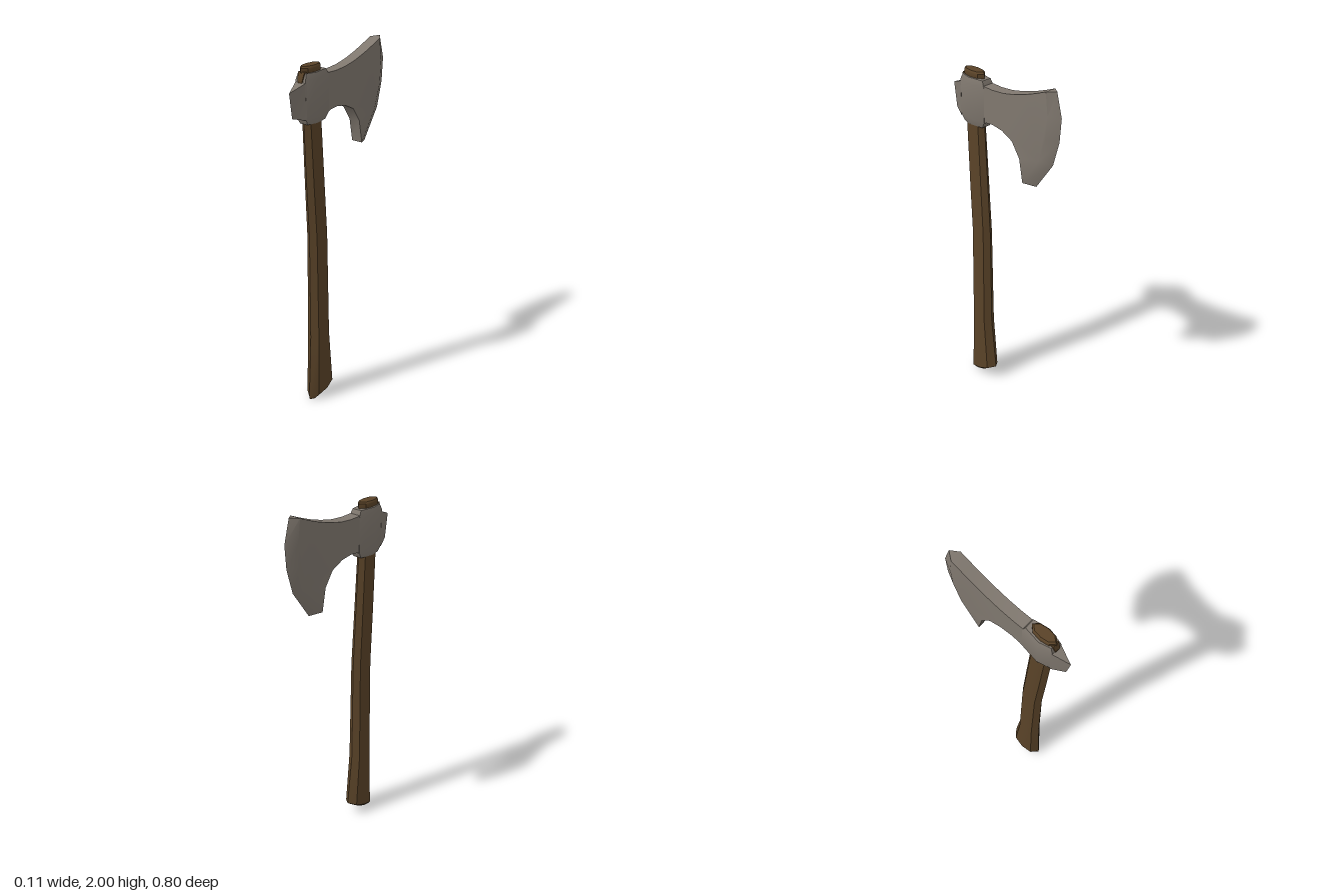
import * as THREE from 'three';
import { mergeGeometries, toCreasedNormals } from 'three/addons/utils/BufferGeometryUtils.js';

const CREASE = 0.6;
const steel = new THREE.MeshStandardMaterial({ color: 0x80786f });
steel.name = 'steel';
const wood = new THREE.MeshStandardMaterial({ color: 0x5a4328 });
wood.name = 'wood';

// Skin a stack of equal rings (bottom to top, each running +z, +x, -z, -x) and cap both ends
function loft(rings) {
  const n = rings[0].length;
  const pos = [];
  const tri = (a, b, c) => pos.push(...a, ...b, ...c);
  for (let i = 0; i < rings.length - 1; i++) {
    const lo = rings[i], hi = rings[i + 1];
    for (let j = 0; j < n; j++) {
      const k = (j + 1) % n;
      tri(lo[j], lo[k], hi[k]);
      tri(lo[j], hi[k], hi[j]);
    }
  }
  const bottom = rings[0], top = rings[rings.length - 1];
  for (let j = 1; j < n - 1; j++) {
    tri(bottom[0], bottom[j + 1], bottom[j]);
    tri(top[0], top[j], top[j + 1]);
  }
  const g = new THREE.BufferGeometry();
  g.setAttribute('position', new THREE.Float32BufferAttribute(pos, 3));
  return g;
}

function part(name, geometry, material) {
  const g = toCreasedNormals(geometry, CREASE);
  const mesh = new THREE.Mesh(g, material);
  mesh.name = name;
  return mesh;
}

// Faceted oval section of the handle; front and back heights differ for slanted cuts
const OVAL = [[0, 1], [0.78, 0.65], [1, 0], [0.78, -0.65], [0, -1], [-0.78, -0.65], [-1, 0], [-0.78, 0.65]];
function ovalRing([yFront, yBack, z, hx, hz]) {
  return OVAL.map(([u, v]) => [u * hx, yBack + (yFront - yBack) * (v + 1) / 2, z + v * hz]);
}

// Blade: flat cheek plus a ground bevel that ends in a sharp edge
function bladeGeometry() {
  const h = 0.033;
  const inner = [[-0.165, 1.445], [-0.28, 1.61], [-0.325, 1.745], [-0.335, 1.87], [-0.32, 1.995]];
  const edge = [[-0.235, 1.437], [-0.35, 1.6], [-0.39, 1.74], [-0.4, 1.87], [-0.365, 2]];
  const topLine = [[-0.25, 1.966], [-0.18, 1.94], [-0.1, 1.916], [-0.02, 1.899], [0.06, 1.892], [0.17, 1.895]];
  const beard = [[0.17, 1.665], [0.14, 1.68], [0.11, 1.695], [0.06, 1.7], [-0.01, 1.69], [-0.085, 1.655], [-0.14, 1.575]];
  const outline = [...inner, ...topLine, ...beard].map(([z, y]) => new THREE.Vector2(-z, y));
  const cheek = new THREE.ExtrudeGeometry(new THREE.Shape(outline), { depth: 2 * h, bevelEnabled: false });
  cheek.translate(0, 0, -h);
  cheek.rotateY(Math.PI / 2);
  cheek.deleteAttribute('uv');
  cheek.deleteAttribute('normal');
  const bevel = loft(inner.map(([z, y], i) => [[h, y, z], [0, edge[i][1], edge[i][0]], [-h, y, z]]));
  return mergeGeometries([cheek.index ? cheek.toNonIndexed() : cheek, bevel]);
}

// Eye: six-sided collar around the handle, chamfered above and below
function eyeGeometry() {
  const section = [[0.032, 0.31], [0.051, 0.235], [0.034, 0.125], [-0.034, 0.125], [-0.051, 0.235], [-0.032, 0.31]];
  const levels = [[1.652, 0.76], [1.69, 1], [1.885, 1], [1.918, 0.84]];
  return loft(levels.map(([y, s]) => section.map(([x, z]) => [x * s, y, 0.225 + (z - 0.225) * s])));
}

export function createModel() {
  const model = new THREE.Group();
  model.name = 'axe';

  // Handle, from the slanted foot up to the head: front y, back y, centre z, half widths
  const handle = [
    [0, 0.03, 0.213, 0.026, 0.058],
    [0.02, 0.085, 0.178, 0.054, 0.097],
    [0.4, 0.4, 0.186, 0.05, 0.07],
    [1.0, 1.0, 0.189, 0.043, 0.067],
    [1.3, 1.3, 0.206, 0.04, 0.067],
    [1.68, 1.68, 0.226, 0.036, 0.065],
  ].map(ovalRing);
  model.add(part('handle', loft(handle), wood));

  // Wooden end of the handle standing proud of the eye
  const plug = [
    [1.9, 1.9, 0.232, 0.029, 0.068],
    [1.925, 1.925, 0.232, 0.034, 0.077],
    [1.943, 1.943, 0.232, 0.034, 0.077],
    [1.952, 1.952, 0.232, 0.028, 0.066],
  ].map(ovalRing);
  model.add(part('handleEnd', loft(plug), wood));

  // Sliver of wood showing in the notch at the front of the eye
  const sliver = [[1.84, 0.003, 0.313], [1.885, 0.016, 0.316], [1.925, 0.02, 0.303]]
    .map(([y, w, z]) => [[w, y, z], [w, y, z - 0.02], [-w, y, z - 0.02], [-w, y, z]]);
  model.add(part('notchWood', loft(sliver), wood));

  // Steel head
  const head = new THREE.Group();
  head.name = 'head';
  head.add(part('eye', eyeGeometry(), steel));
  head.add(part('blade', bladeGeometry(), steel));

  // Poll: wedge tapering to an upright edge at the front
  const poll = [[1.68, 1.7, 0.38], [1.875, 1.835, 0.4]]
    .map(([y, yTip, zTip]) => [[0, yTip, zTip], [0.034, y, 0.305], [-0.034, y, 0.305]]);
  head.add(part('poll', loft(poll), steel));
  model.add(head);

  return model;
}
